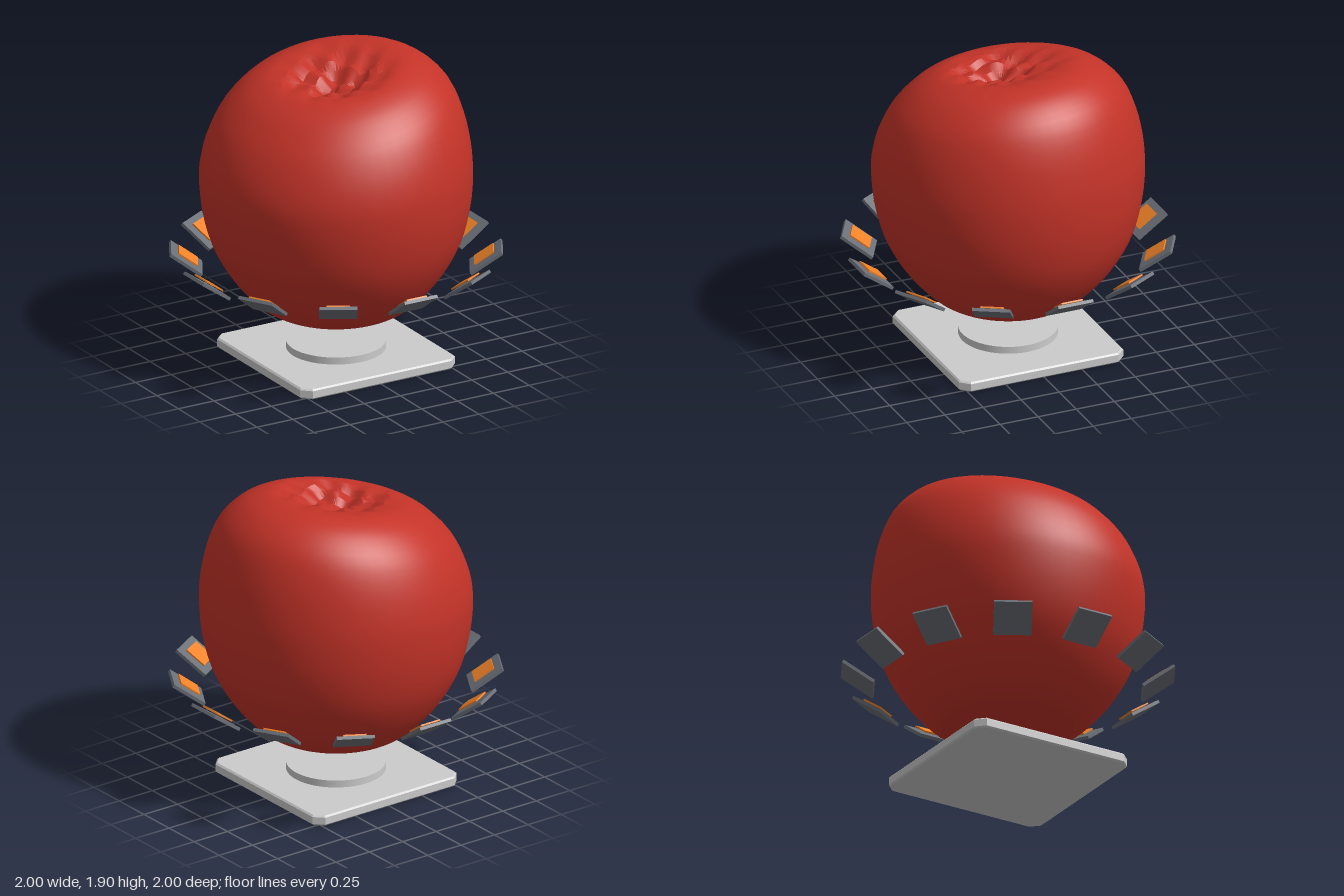
import * as THREE from 'three';
import { toCreasedNormals } from 'three/addons/utils/BufferGeometryUtils.js';

const red = new THREE.MeshStandardMaterial({ color: 0xc43328 });
const grey = new THREE.MeshStandardMaterial({ color: 0xcccccc });
const slate = new THREE.MeshStandardMaterial({ color: 0x6b7078 });
const orange = new THREE.MeshStandardMaterial({ color: 0xf08228 });

function addMesh(parent, name, geometry, material, x = 0, y = 0, z = 0) {
  const mesh = new THREE.Mesh(geometry, material);
  mesh.name = name;
  mesh.position.set(x, y, z);
  parent.add(mesh);
  return mesh;
}

// Apple body: a lathed profile, lopsided at the top, with a crumpled hollow
function appleGeometry() {
  const profile = [
    [0, 0.325], [0.1, 0.31], [0.2, 0.298], [0.34, 0.31], [0.45, 0.36], [0.54, 0.44],
    [0.65, 0.575], [0.75, 0.76], [0.805, 0.97], [0.822, 1.17], [0.81, 1.32],
    [0.77, 1.48], [0.7, 1.63], [0.6, 1.74], [0.5, 1.805], [0.38, 1.84],
    [0.25, 1.815], [0.12, 1.765], [0, 1.72],
  ].map(([r, y]) => new THREE.Vector2(r, y));
  const points = new THREE.SplineCurve(profile).getPoints(54);
  points[0].x = points[54].x = 0;
  const geometry = new THREE.LatheGeometry(points, 56);
  const pos = geometry.attributes.position;
  for (let i = 0; i < pos.count; i++) {
    let x = pos.getX(i), y = pos.getY(i), z = pos.getZ(i);
    const r = Math.hypot(x, z);
    const top = THREE.MathUtils.smoothstep(y, 1.0, 1.75);
    if (y > 1.5) {
      // creases fade out towards the rim, and the hollow sits off centre
      const fade = 1 - THREE.MathUtils.smoothstep(r, 0.12, 0.45);
      y += fade * 0.016 * (Math.sin(23 * x + 31 * z) + Math.sin(41 * x - 17 * z + 1));
      x -= 0.03 * fade;
      z += 0.04 * fade;
    }
    y += top * (0.16 * x - 0.05 * z);
    pos.setXYZ(i, x, y, z);
  }
  return toCreasedNormals(geometry, 0.4);
}

// Square base plate with cut corners and a fine bevel
function baseGeometry() {
  const h = 0.53, c = 0.48, bevel = 0.01;
  const corners = [[h, -c], [h, c], [c, h], [-c, h], [-h, c], [-h, -c], [-c, -h], [c, -h]];
  const shape = new THREE.Shape(corners.map(([x, y]) => new THREE.Vector2(x, y)));
  const geometry = new THREE.ExtrudeGeometry(shape, {
    depth: 0.045, bevelEnabled: true, bevelSize: bevel, bevelThickness: bevel, bevelSegments: 1,
  });
  return geometry.rotateX(-Math.PI / 2).translate(0, bevel, 0);
}

export function createModel() {
  const model = new THREE.Group();
  model.name = 'floatingApple';

  addMesh(model, 'apple', appleGeometry(), red);
  addMesh(model, 'basePlate', baseGeometry(), grey);
  const disc = toCreasedNormals(new THREE.CylinderGeometry(0.3, 0.3, 0.05, 48), 0.5);
  addMesh(model, 'baseDisc', disc, grey, 0, 0.085, 0);

  // Ring of twelve panels tilted towards the apple
  const plate = new THREE.BoxGeometry(0.23, 0.02, 0.23);
  const inset = new THREE.BoxGeometry(0.14, 0.01, 0.14);
  const ring = new THREE.Group();
  ring.name = 'panelRing';
  model.add(ring);
  for (let i = 0; i < 12; i++) {
    const arm = new THREE.Group();
    arm.name = 'panelArm' + (i + 1);
    arm.rotation.y = (i * Math.PI) / 6;
    const panel = new THREE.Group();
    panel.name = 'panel';
    panel.position.set(0, 0.635, 0.9);
    panel.rotation.x = -THREE.MathUtils.degToRad(35);
    addMesh(panel, 'panelPlate', plate, slate);
    addMesh(panel, 'panelInset', inset, orange, 0, 0.023, 0);
    arm.add(panel);
    ring.add(arm);
  }
  return model;
}
